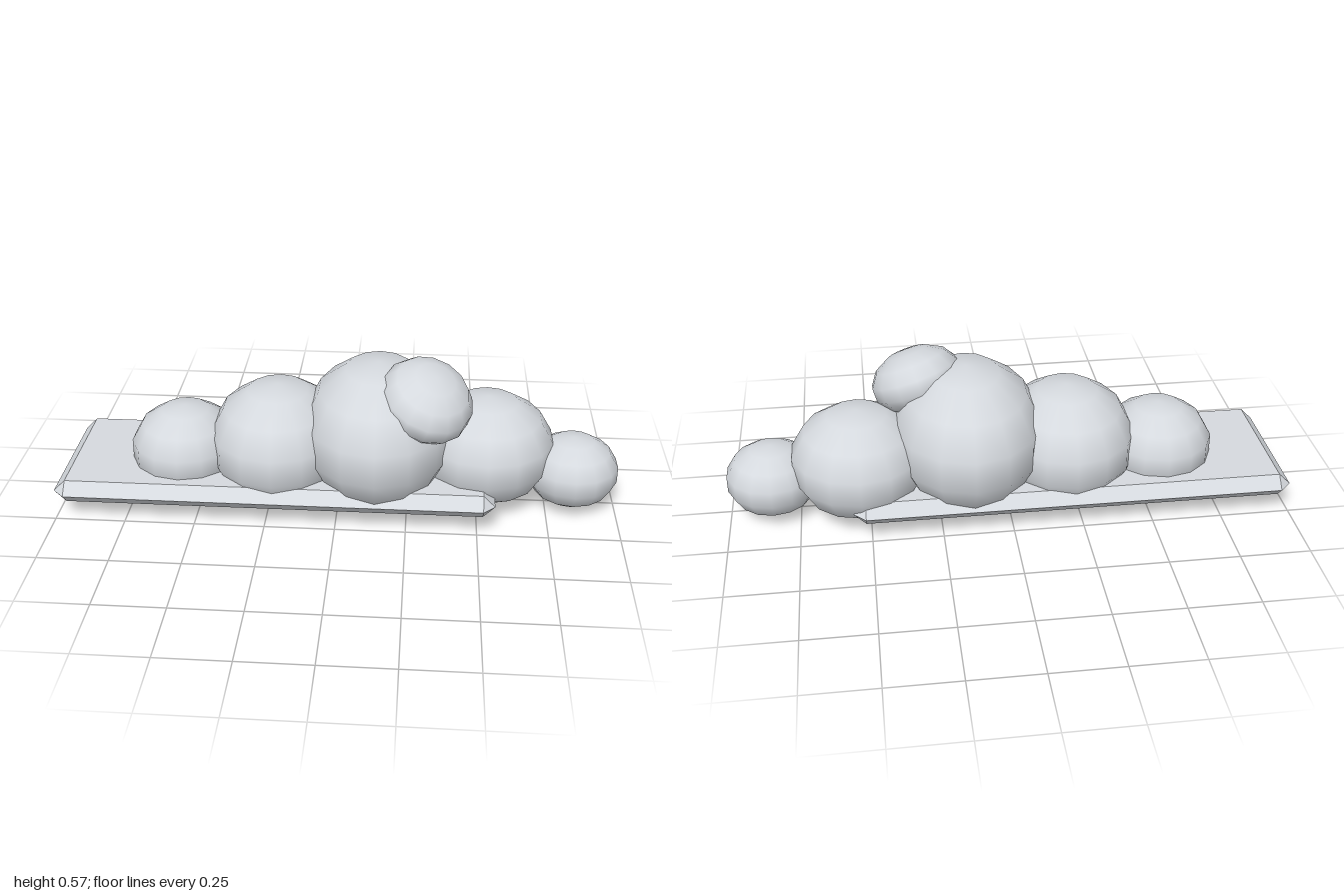
import * as THREE from 'three';
import { ConvexGeometry } from 'three/addons/geometries/ConvexGeometry.js';

const paleGrey = new THREE.MeshStandardMaterial({ name: 'paleGrey', color: 0xd5d9de });

// Low-poly ellipsoid with smooth normals and a vertex on the z axis
function puff(name, position, radii, rotation = [0, 0, 0]) {
  const geometry = new THREE.SphereGeometry(1, 14, 7);
  geometry.rotateY(Math.PI / 2);
  geometry.scale(...radii);
  const mesh = new THREE.Mesh(geometry, paleGrey);
  mesh.name = name;
  mesh.position.set(...position);
  mesh.rotation.set(...rotation);
  return mesh;
}

// Flat slab with chamfered edges: the hull of an octahedron at each corner
function slab(name, x0, x1, halfDepth, y, bevel) {
  const points = [];
  for (const [x, sx] of [[x0, -1], [x1, 1]]) {
    for (const sz of [-1, 1]) {
      const cx = x - sx * bevel;
      const cz = sz * (halfDepth - bevel);
      points.push(
        new THREE.Vector3(x, y, cz),
        new THREE.Vector3(cx, y, sz * halfDepth),
        new THREE.Vector3(cx, y + bevel, cz),
        new THREE.Vector3(cx, y - bevel, cz)
      );
    }
  }
  const mesh = new THREE.Mesh(new ConvexGeometry(points), paleGrey);
  mesh.name = name;
  return mesh;
}

export function createModel() {
  const group = new THREE.Group();
  group.name = 'cloud';

  // Base slab
  group.add(slab('baseSlab', -1, 0.56, 0.279, 0.112, 0.042));

  // Row of puffs from the model's right to its left
  group.add(
    puff('farRightPuff', [-0.56, 0.185, 0], [0.2, 0.166, 0.209]),
    puff('rightPuff', [-0.22, 0.225, 0], [0.252, 0.222, 0.279]),
    puff('middlePuff', [0.14, 0.28, 0], [0.276, 0.265, 0.336]),
    puff('leftPuff', [0.53, 0.211, -0.028], [0.246, 0.2, 0.252]),
    puff('farLeftPuff', [0.841, 0.142, 0], [0.167, 0.131, 0.167])
  );

  // Small tilted puff on top
  group.add(puff('topPuff', [0.308, 0.45, 0.1], [0.167, 0.114, 0.184], [0.3, 0, -0.3]));

  return group;
}
